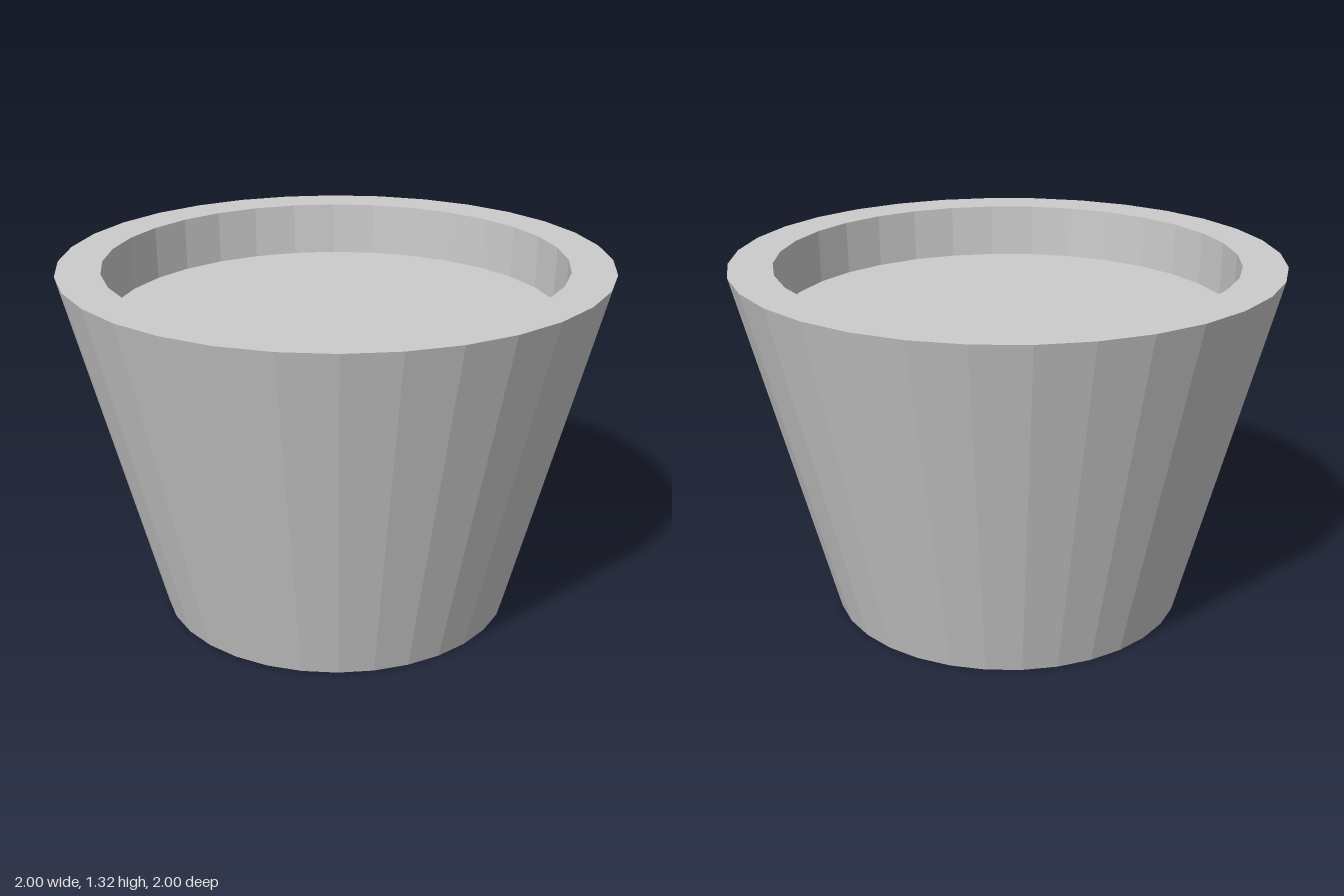
import * as THREE from 'three';

const SIDES = 32;
const HEIGHT = 1.315, FILL_Y = 1.115;
const BASE_R = 0.655, RIM_R = 1, INNER_R = 0.84, FILL_R = 0.835;

export function createModel() {
  const group = new THREE.Group();
  const material = new THREE.MeshStandardMaterial({ color: 0xcccccc, flatShading: true });

  const add = (name, geometry) => {
    const mesh = new THREE.Mesh(geometry, material);
    mesh.name = name;
    group.add(mesh);
    return mesh;
  };

  // Tapered wall, flat rim and the short inner wall down to the fill
  const profile = [
    [BASE_R, 0], [RIM_R, HEIGHT], [INNER_R, HEIGHT], [FILL_R, FILL_Y],
  ].map(([r, y]) => new THREE.Vector2(r, y));
  add('potWall', new THREE.LatheGeometry(profile, SIDES));

  // Flat underside
  add('potBase', new THREE.CircleGeometry(BASE_R, SIDES).rotateX(Math.PI / 2));

  // Flat surface filling the pot below the rim
  add('soil', new THREE.CircleGeometry(FILL_R, SIDES).rotateX(-Math.PI / 2)).position.y = FILL_Y;

  return group;
}
